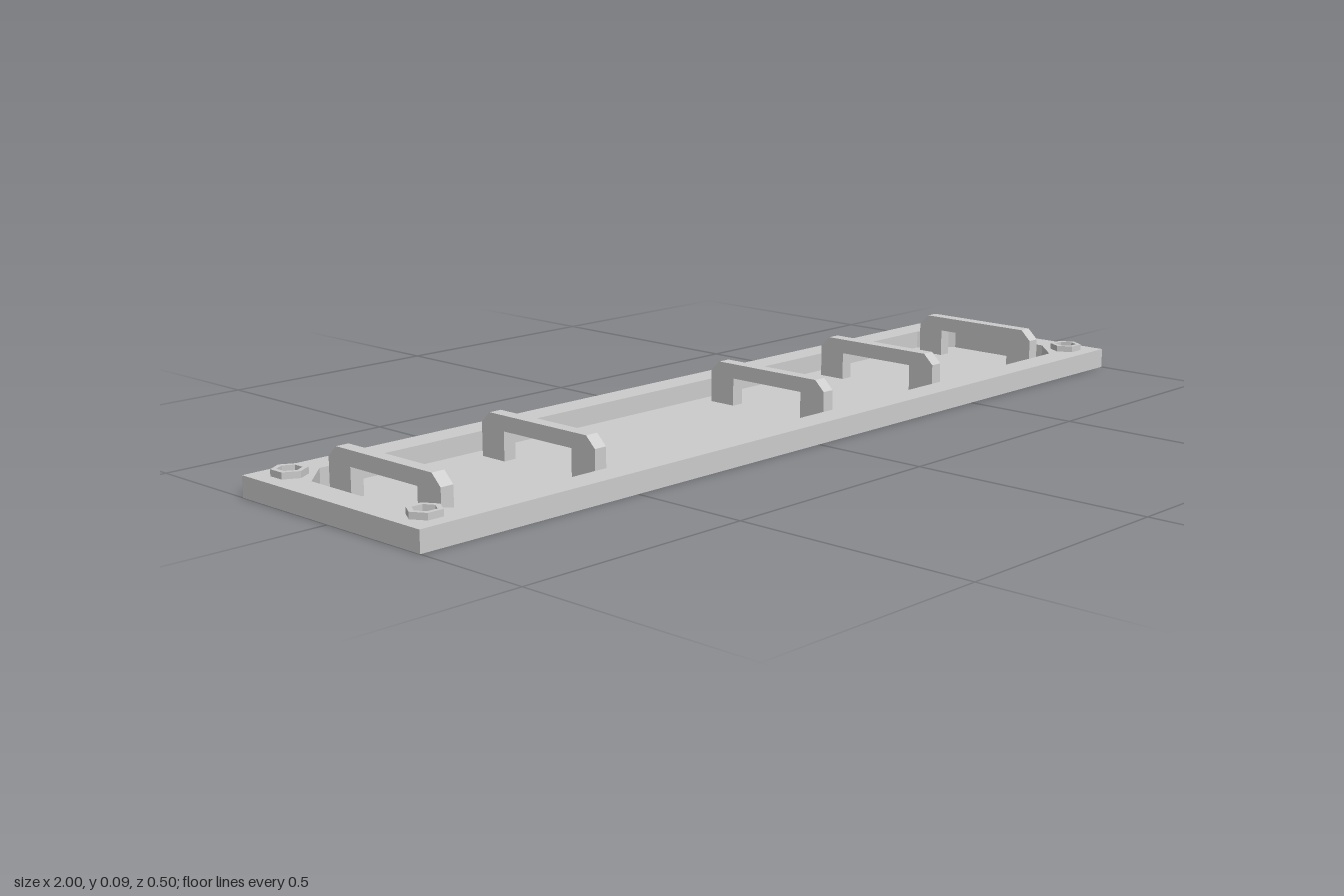
import * as THREE from 'three';

const TOP = 0.042, FLOOR = 0.003;

const path = (pts, Type = THREE.Shape) => new Type(pts.map(([x, y]) => new THREE.Vector2(x, y)));

// Vertical strip around a closed outline; its front lies outside a counter-clockwise one
function wallGeometry(pts, y0, y1) {
  const pos = [];
  pts.forEach(([ax, ay], i) => {
    const [bx, by] = pts[(i + 1) % pts.length];
    pos.push(ax, y0, -ay, bx, y0, -by, bx, y1, -by);
    pos.push(ax, y0, -ay, bx, y1, -by, ax, y1, -ay);
  });
  const g = new THREE.BufferGeometry();
  g.setAttribute('position', new THREE.Float32BufferAttribute(pos, 3));
  g.computeVertexNormals();
  return g;
}

const hexagon = (r, turn) => Array.from({ length: 6 }, (_, i) => {
  const a = turn + (i * Math.PI) / 3;
  return [r * Math.cos(a), r * Math.sin(a)];
});

export function createModel() {
  const model = new THREE.Group();
  model.name = 'coverPlate';
  const solid = new THREE.MeshStandardMaterial({ color: 0xcccccc, flatShading: true });
  const thin = new THREE.MeshStandardMaterial({ color: 0xcccccc, flatShading: true, side: THREE.DoubleSide });

  const add = (name, geometry, material, x = 0, y = 0, z = 0) => {
    const mesh = new THREE.Mesh(geometry, material);
    mesh.name = name;
    mesh.position.set(x, y, z);
    model.add(mesh);
  };

  const outer = [[-1, -0.25], [1, -0.25], [1, 0.25], [-1, 0.25]];
  const recess = [
    [-0.875, -0.19], [0.875, -0.19], [0.94, -0.125], [0.94, 0.125],
    [0.875, 0.19], [-0.875, 0.19], [-0.94, 0.125], [-0.94, -0.125],
  ];

  // Thin tray, open underneath: frame, outer walls, recess walls and sunken floor
  const frame = path(outer);
  frame.holes.push(path(recess, THREE.Path));
  add('topFrame', new THREE.ShapeGeometry(frame).rotateX(-Math.PI / 2), thin, 0, TOP);
  add('outerWalls', wallGeometry(outer, 0, TOP), thin);
  add('recessWalls', wallGeometry([...recess].reverse(), FLOOR, TOP), thin);
  add('recessFloor', new THREE.ShapeGeometry(path(recess)).rotateX(-Math.PI / 2), thin, 0, FLOOR);

  // Chamfered bracket handles standing on the sunken floor
  const width = 0.028;
  const handle = new THREE.ExtrudeGeometry(path([
    [-0.157, FLOOR], [-0.094, FLOOR], [-0.094, 0.062], [0.094, 0.062], [0.094, FLOOR],
    [0.157, FLOOR], [0.157, 0.071], [0.134, 0.093], [-0.134, 0.093], [-0.157, 0.071],
  ]), { depth: width, bevelEnabled: false });
  handle.translate(0, 0, -width / 2).rotateY(-Math.PI / 2);
  [-0.864, -0.504, 0.136, 0.496, 0.857].forEach((x) => add('handle', handle, solid, x));

  // Hollow hexagonal nuts in the corners, turned differently front and back
  for (const sz of [1, -1]) {
    const turn = sz > 0 ? 0 : Math.PI / 6;
    const ring = path(hexagon(0.034, turn));
    ring.holes.push(path(hexagon(0.023, turn), THREE.Path));
    const nut = new THREE.ExtrudeGeometry(ring, { depth: 0.013, bevelEnabled: false }).rotateX(-Math.PI / 2);
    for (const sx of [1, -1]) add('cornerNut', nut, solid, sx * 0.94, TOP, sz * 0.19);
  }
  return model;
}
